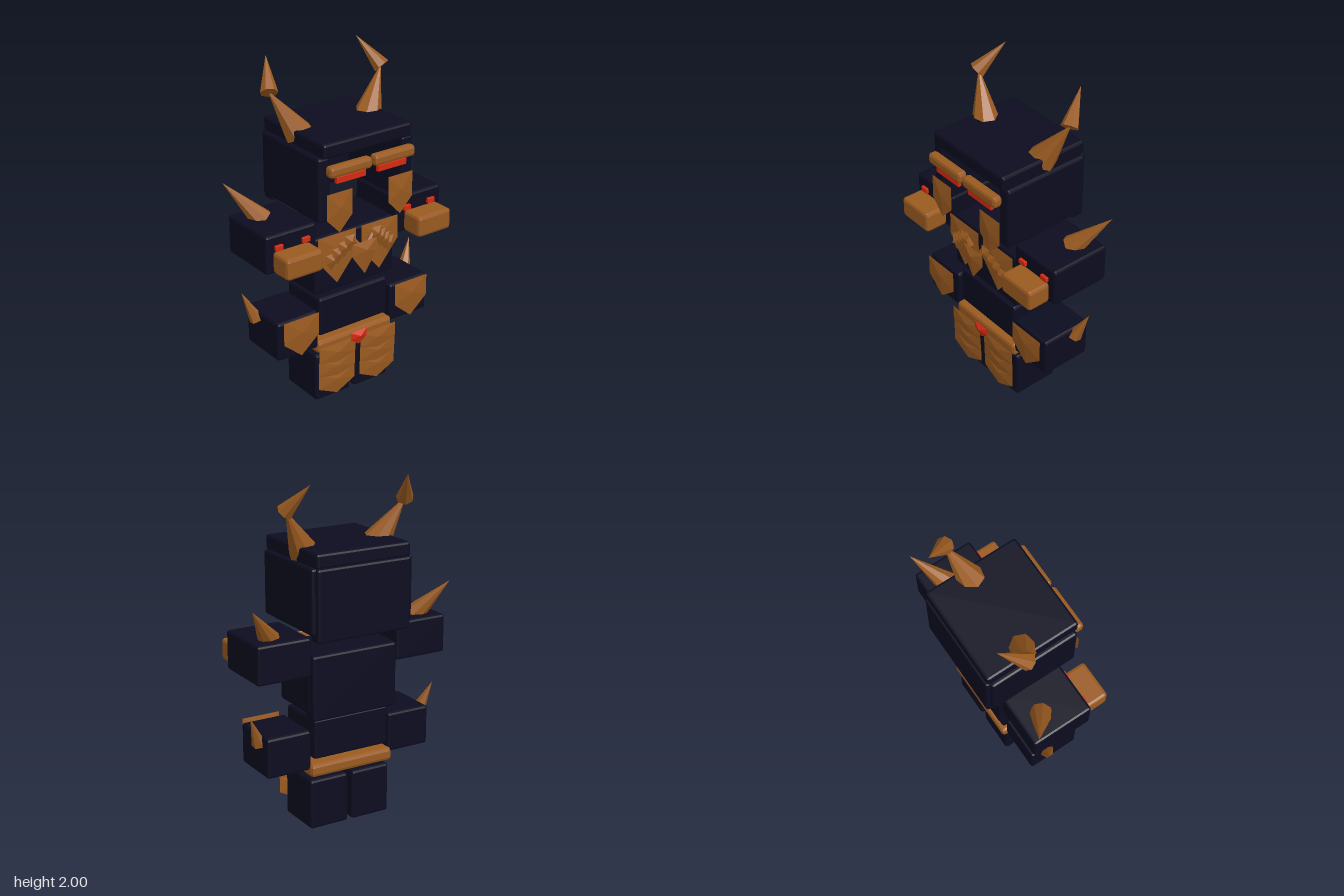
import * as THREE from 'three';
import { RoundedBoxGeometry } from 'three/addons/geometries/RoundedBoxGeometry.js';

const flat = (name, color) => {
  const m = new THREE.MeshStandardMaterial({ color, flatShading: true });
  m.name = name;
  return m;
};

export function createModel() {
  const model = new THREE.Group();
  model.name = 'hornedArmour';
  const navy = flat('navy', 0x0c0c20);
  const bronze = flat('bronze', 0x9a5a20);
  const red = flat('red', 0xd42a10);

  const add = (name, geometry, material) => {
    const mesh = new THREE.Mesh(geometry, material);
    mesh.name = name;
    model.add(mesh);
    return mesh;
  };

  // Bevelled block given by its extents on each axis
  const block = (name, mat, x0, x1, y0, y1, z0, z1, bevel = 0.014) => {
    const mesh = add(name, new RoundedBoxGeometry(x1 - x0, y1 - y0, z1 - z0, 1, bevel), mat);
    mesh.position.set((x0 + x1) / 2, (y0 + y1) / 2, (z0 + z1) / 2);
  };

  // Pointed cone from a base centre to a tip
  const spike = (name, base, tip, radius, sides = 7) => {
    const a = new THREE.Vector3(...base), b = new THREE.Vector3(...tip);
    const mesh = add(name, new THREE.ConeGeometry(radius, a.distanceTo(b), sides), bronze);
    mesh.position.copy(a).add(b).multiplyScalar(0.5);
    mesh.quaternion.setFromUnitVectors(new THREE.Vector3(0, 1, 0), b.sub(a).normalize());
    return mesh;
  };

  // Faceted shield: five-sided outline rising to a ridge point front and back
  const shield = (name, mat, x, w, top, shoulder, tip, z, depth = 0.013) => {
    const h = w / 2;
    const ring = [[-h, top], [-h, shoulder], [0, tip], [h, shoulder], [h, top]];
    const cy = top * 0.4 + shoulder * 0.6;
    const pos = [];
    ring.forEach((p, i) => {
      const q = ring[(i + 1) % ring.length];
      pos.push(...p, 0, ...q, 0, 0, cy, depth);
      pos.push(...q, 0, ...p, 0, 0, cy, -depth);
    });
    const g = new THREE.BufferGeometry();
    g.setAttribute('position', new THREE.Float32BufferAttribute(pos, 3));
    g.computeVertexNormals();
    const mesh = add(name, g, mat);
    mesh.position.set(x, 0, z);
    return mesh;
  };

  // Helmet, open at the front and below
  block('helmetTop', navy, -0.295, 0.295, 1.555, 1.64, -0.3, 0.265);
  block('helmetBack', navy, -0.295, 0.295, 1.15, 1.56, -0.31, -0.23);

  // Torso, waist and belt
  block('chest', navy, -0.275, 0.275, 0.705, 1.05, -0.18, 0.15);
  block('backPlate', navy, -0.27, 0.27, 0.67, 1.05, -0.212, -0.13);
  block('waist', navy, -0.24, 0.24, 0.43, 0.665, -0.17, 0.14);
  block('belt', bronze, -0.265, 0.265, 0.328, 0.405, -0.187, 0.16, 0.02);
  shield('beltGem', red, 0, 0.115, 0.412, 0.365, 0.325, 0.19, 0.02);
  shield('breastCrest', bronze, 0, 0.17, 1.0, 0.92, 0.8, 0.24, 0.02);

  for (const s of [-1, 1]) {
    const side = s > 0 ? 'left' : 'right';
    // Mirrors a block's x range to this side
    const pair = (name, mat, a, b, ...rest) =>
      block(side + name, mat, Math.min(s * a, s * b), Math.max(s * a, s * b), ...rest);

    // Face and helmet sides
    pair('HelmetSide', navy, 0.24, 0.318, 1.19, 1.56, -0.285, 0.248);
    pair('Brow', bronze, 0.008, 0.285, 1.46, 1.525, 0.258, 0.315, 0.018);
    pair('Eye', red, 0.04, 0.235, 1.42, 1.458, 0.275, 0.298, 0.003);
    shield(side + 'Cheek', bronze, s * 0.207, 0.167, 1.365, 1.215, 1.128, 0.285);

    // Two-part bent horn
    spike(side + 'HornBase', [s * 0.235, 1.6, -0.05], [s * 0.38, 1.85, -0.12], 0.082, 8);
    spike(side + 'HornTip', [s * 0.378, 1.84, -0.11], [s * 0.302, 2.0, -0.25], 0.05);

    // Upper arms with fists, studs and shoulder spikes
    pair('Arm', navy, 0.275, 0.602, 0.935, 1.16, -0.205, 0.165);
    pair('Fist', bronze, 0.33, 0.565, 0.945, 1.07, 0.165, 0.308, 0.018);
    pair('OuterStud', red, 0.5, 0.55, 1.07, 1.1, 0.16, 0.182, 0.003);
    pair('InnerStud', red, 0.325, 0.375, 1.07, 1.1, 0.16, 0.182, 0.003);
    spike(side + 'ShoulderSpike', [s * 0.465, 1.14, -0.075], [s * 0.63, 1.355, -0.205], 0.065, 8);

    // Lower arms
    pair('Gauntlet', navy, 0.255, 0.528, 0.37, 0.605, -0.16, 0.15);
    shield(side + 'GauntletShield', bronze, s * 0.39, 0.235, 0.615, 0.48, 0.38, 0.178);
    spike(side + 'GauntletSpike', [s * 0.53, 0.55, -0.06], [s * 0.6, 0.722, -0.1], 0.042, 6);

    // Breastplate and the fan of small scales on it
    shield(side + 'Breastplate', bronze, s * 0.148, 0.258, 1.065, 0.92, 0.765, 0.182);
    for (let i = 0; i < 4; i++) {
      const top = 0.96 + i * 0.032;
      shield(side + 'ChestScale', bronze, s * (0.2 - i * 0.036), 0.07,
        top, top - 0.055, top - 0.1, 0.2 + i * 0.008, 0.022);
    }
    spike(side + 'ChestThorn', [s * 0.045, 0.985, 0.22], [s * 0.085, 1.065, 0.22], 0.02, 5);

    // Legs with overlapping plates
    pair('Leg', navy, 0.015, 0.258, 0.003, 0.3, -0.16, 0.128);
    for (let i = 0; i < 3; i++) {
      const y = -i * 0.09;
      shield(side + 'LegPlate', bronze, s * 0.146, 0.255, 0.375 + y, 0.287 + y, 0.225 + y, 0.182 - i * 0.003);
    }
  }

  return model;
}
